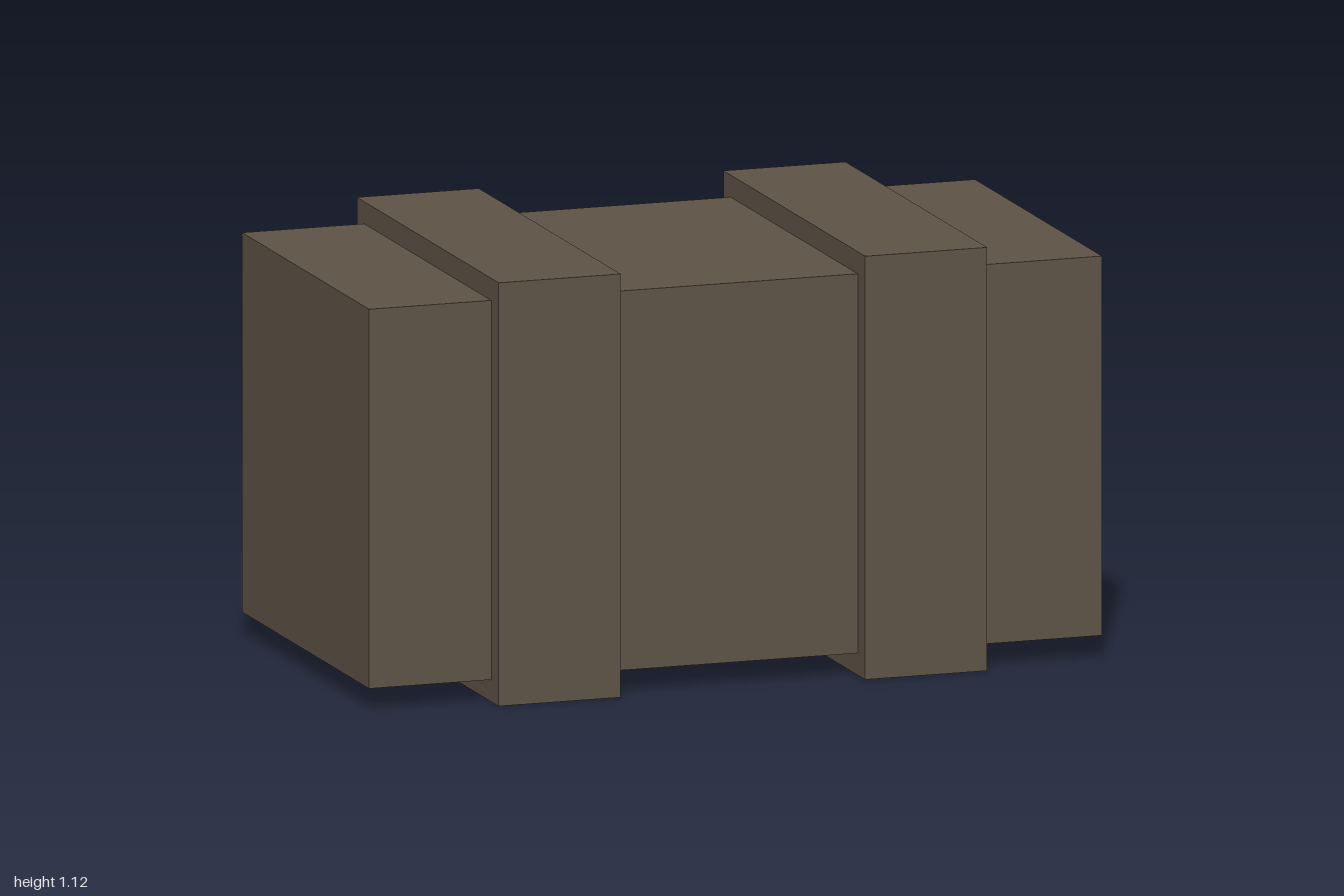
import * as THREE from 'three';

export function createModel() {
  const model = new THREE.Group();
  model.name = 'crate';
  const brown = new THREE.MeshStandardMaterial({ color: 0x5d5245 });
  brown.name = 'dark brown';

  const bandSize = 1.116;
  const addBox = (name, width, size, x) => {
    const mesh = new THREE.Mesh(new THREE.BoxGeometry(width, size, size), brown);
    mesh.name = name;
    mesh.position.set(x, bandSize / 2, 0);
    model.add(mesh);
  };

  // Long square body
  addBox('body', 2, 1, 0);

  // Raised bands wrapped around the body
  addBox('leftBand', 0.333, bandSize, 0.5);
  addBox('rightBand', 0.333, bandSize, -0.5);

  return model;
}
